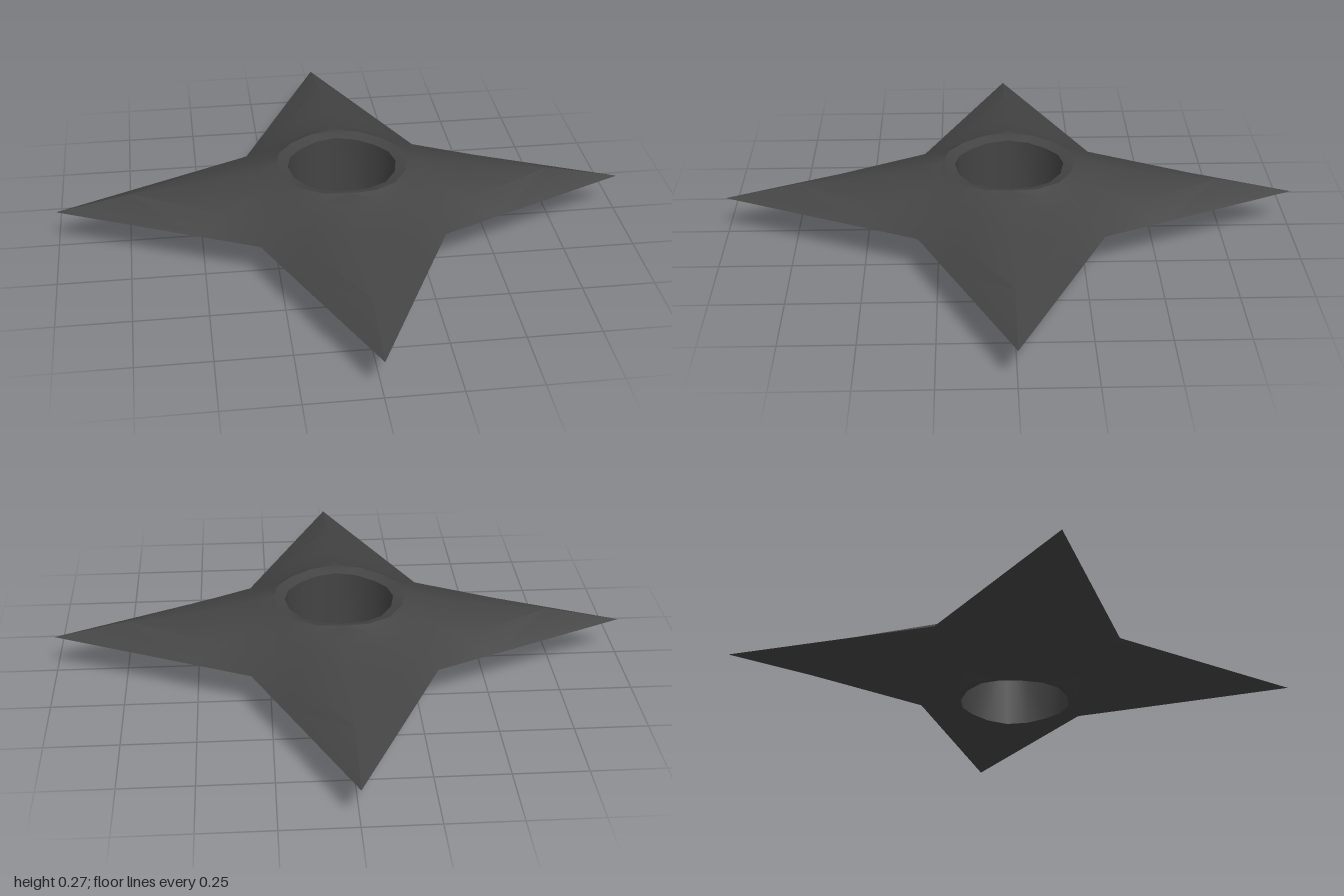
import * as THREE from 'three';
import { toCreasedNormals } from 'three/addons/utils/BufferGeometryUtils.js';

const SPOKES = 16, MID = 0.135, HOLE = 0.19, RIM = 0.23, NOTCH = 0.315;

// Radius of the four-pointed outline at an angle
function outline(angle) {
  const quarter = Math.PI / 2;
  const a = Math.abs(angle - Math.round(angle / quarter) * quarter);
  return 1 / (Math.cos(a) + Math.sin(a) * (1 - NOTCH) / NOTCH);
}

// Closed cross-section along one spoke: hole, raised rim, slope to the edge, and back underneath
function section(angle) {
  const off = Math.sin(2 * angle) ** 2; // 0 on an arm's ridge, 1 in a notch
  const rimHeight = 0.134 - 0.007 * off;
  const reach = outline(angle) - RIM;
  const slope = [[0, 1], [0.104, 0.85], [0.286, 0.64], [0.662, 0.4], [1, 0]];
  const top = [[HOLE, rimHeight - 0.012]];
  for (const [t, h] of slope) {
    top.push([RIM + reach * t, rimHeight * THREE.MathUtils.lerp(h, 1 - t, off * 0.7)]);
  }
  const bottom = top.slice(0, -1).reverse().map(([r, h]) => [r, -h]);
  return [...top, ...bottom];
}

function starGeometry() {
  const positions = [], index = [];
  let count = 0;
  for (let i = 0; i < SPOKES; i++) {
    const angle = i / SPOKES * Math.PI * 2;
    const points = section(angle);
    count = points.length;
    for (const [r, h] of points) {
      positions.push(r * Math.cos(angle), MID + h, r * Math.sin(angle));
    }
  }
  // Join neighbouring spokes, mirroring the diagonals about every ridge and the mid plane
  for (let i = 0; i < SPOKES; i++) {
    for (let j = 0; j < count; j++) {
      const i2 = (i + 1) % SPOKES, j2 = (j + 1) % count;
      const a = i * count + j, b = i * count + j2;
      const c = i2 * count + j, d = i2 * count + j2;
      const leavesRidge = i % 4 < 2, upper = j < (count - 1) / 2;
      if (leavesRidge === upper) index.push(a, d, b, a, c, d);
      else index.push(a, c, b, b, c, d);
    }
  }
  const geometry = new THREE.BufferGeometry();
  geometry.setAttribute('position', new THREE.Float32BufferAttribute(positions, 3));
  geometry.setIndex(index);
  return toCreasedNormals(geometry, 0.68);
}

export function createModel() {
  const group = new THREE.Group();
  group.name = 'throwingStar';
  const blade = new THREE.Mesh(starGeometry(), new THREE.MeshStandardMaterial({ color: 0x444444 }));
  blade.name = 'blade';
  group.add(blade);
  return group;
}
